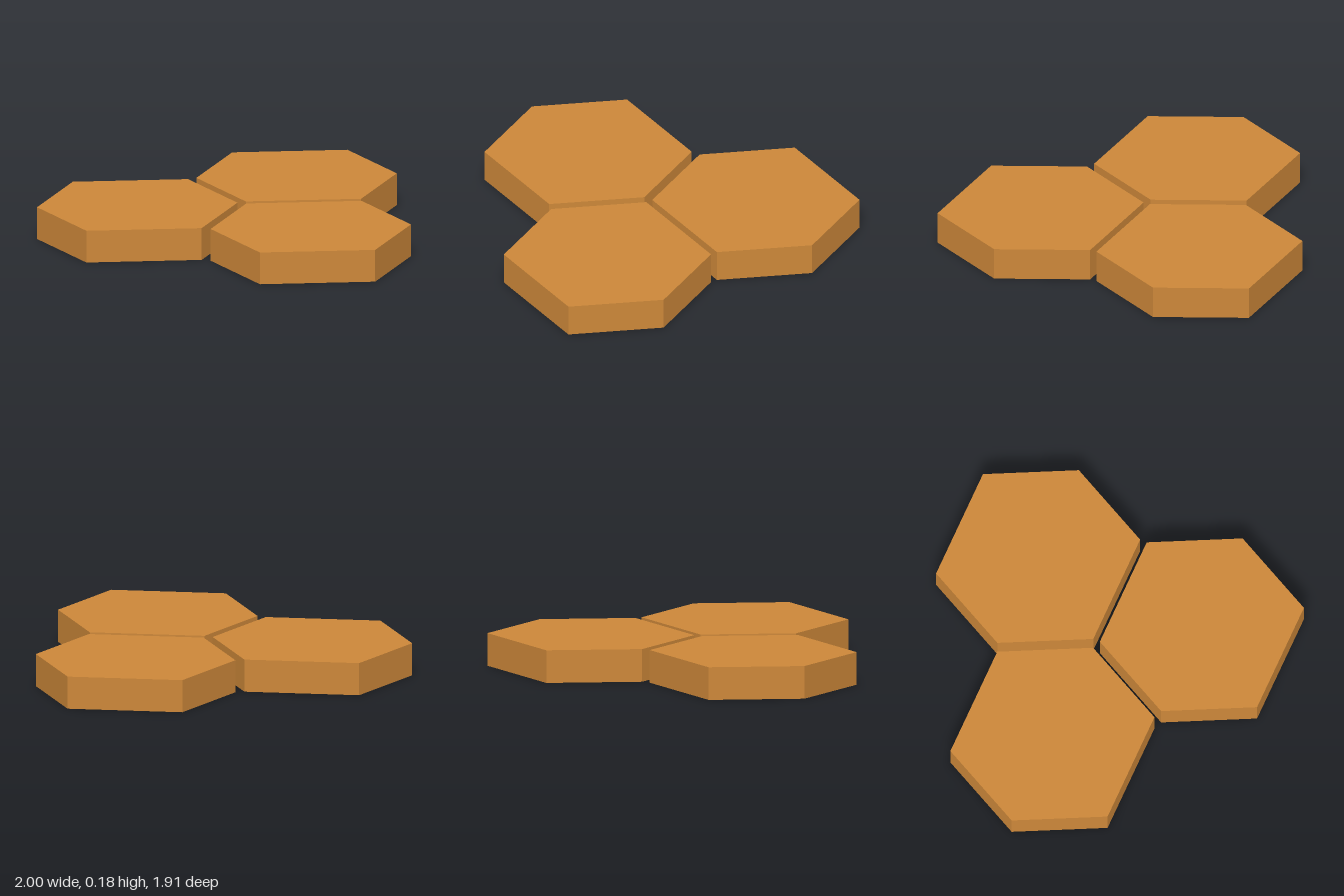
import * as THREE from 'three';

const HEIGHT = 0.18;
const HALF_WIDTH = 0.546; // centre to side corner
const HALF_FLAT = 0.314;  // half of the front and back edges
const HALF_DEPTH = 0.467; // centre to front and back edges

// Slightly stretched hexagon, extruded upwards from the ground
function hexTileGeometry() {
  const outline = new THREE.Shape([
    [HALF_WIDTH, 0], [HALF_FLAT, HALF_DEPTH], [-HALF_FLAT, HALF_DEPTH],
    [-HALF_WIDTH, 0], [-HALF_FLAT, -HALF_DEPTH], [HALF_FLAT, -HALF_DEPTH],
  ].map(([x, y]) => new THREE.Vector2(x, y)));
  const geometry = new THREE.ExtrudeGeometry(outline, { depth: HEIGHT, bevelEnabled: false });
  return geometry.rotateX(-Math.PI / 2);
}

export function createModel() {
  const group = new THREE.Group();
  group.name = 'hexTiles';
  const geometry = hexTileGeometry();
  const material = new THREE.MeshStandardMaterial({ color: 0xcc8739, flatShading: true });

  // Three tiles nested together with a narrow gap
  const tiles = [
    ['rightTile', -0.454, 0],
    ['backLeftTile', 0.453, -0.487],
    ['frontLeftTile', 0.453, 0.486],
  ];
  for (const [name, x, z] of tiles) {
    const tile = new THREE.Mesh(geometry, material);
    tile.name = name;
    tile.position.set(x, 0, z);
    group.add(tile);
  }
  return group;
}
